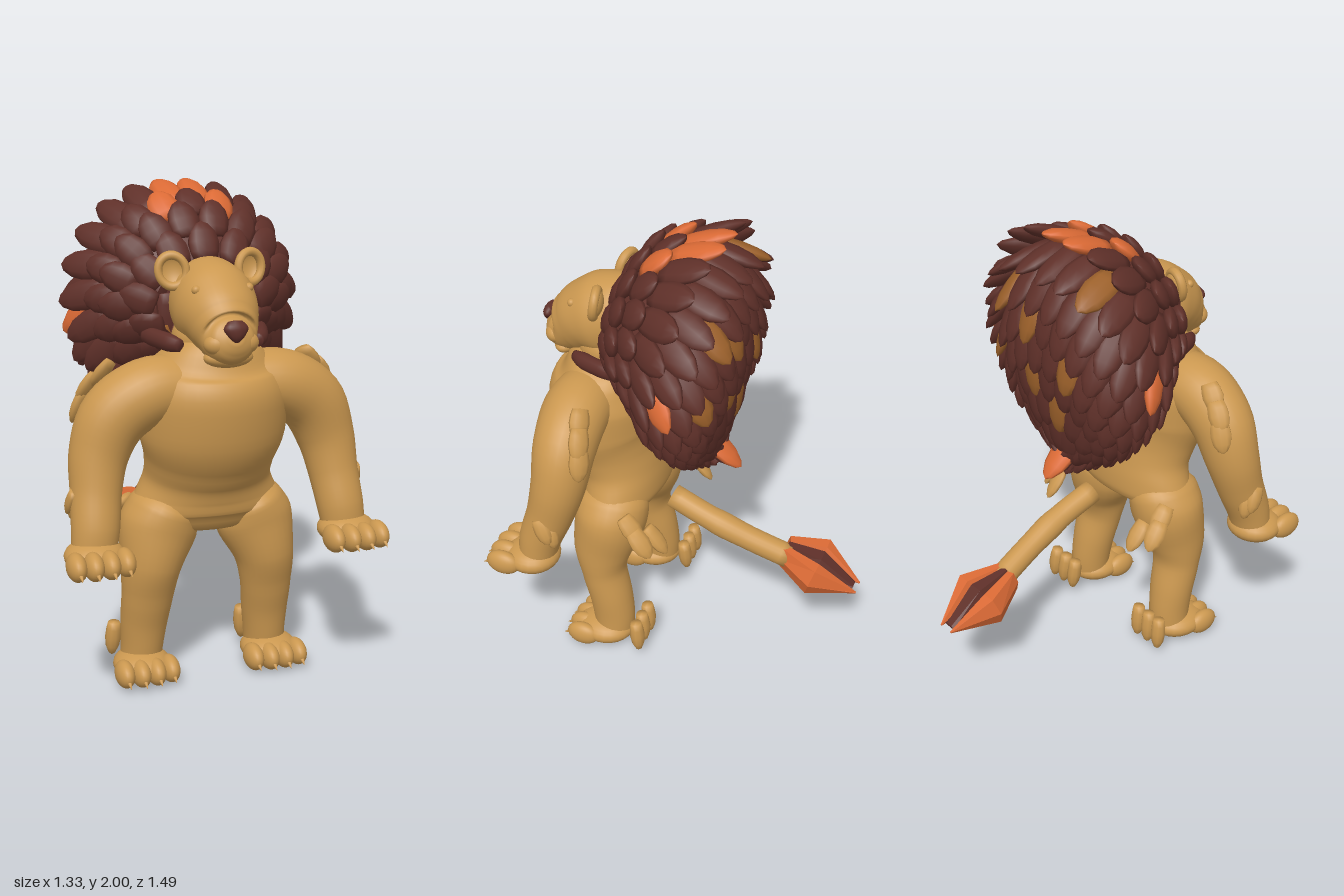
import * as THREE from 'three';
import { mergeGeometries } from 'three/addons/utils/BufferGeometryUtils.js';
import { ParametricGeometry } from 'three/addons/geometries/ParametricGeometry.js';

const V = (x, y, z) => new THREE.Vector3(x, y, z);

// Smooth closed skin through sections [x, y, z, halfWidth, halfDepth]
function loft(sections, { ref = V(0, 0, 1), seg = 28, sub = 5 } = {}) {
  const path = new THREE.CatmullRomCurve3(sections.map(s => V(s[0], s[1], s[2])));
  const size = new THREE.CatmullRomCurve3(sections.map(s => V(s[3], s[4], 0)));
  const n = (sections.length - 1) * sub, pos = [], idx = [];
  for (let i = 0; i <= n; i++) {
    const c = path.getPoint(i / n), r = size.getPoint(i / n), T = path.getTangent(i / n);
    const U = T.clone().cross(ref).normalize(), W = T.clone().cross(U);
    for (let j = 0; j < seg; j++) {
      const a = j / seg * Math.PI * 2;
      const p = c.clone().addScaledVector(U, r.x * Math.cos(a)).addScaledVector(W, r.y * Math.sin(a));
      pos.push(p.x, p.y, p.z);
    }
  }
  const s0 = sections[0], s1 = sections[sections.length - 1], c0 = (n + 1) * seg;
  pos.push(s0[0], s0[1], s0[2], s1[0], s1[1], s1[2]);
  for (let j = 0; j < seg; j++) {
    const k = (j + 1) % seg;
    for (let i = 0; i < n; i++) {
      const a = i * seg + j, b = i * seg + k;
      idx.push(a, b, a + seg, b, b + seg, a + seg);
    }
    idx.push(c0, k, j, c0 + 1, n * seg + j, n * seg + k);
  }
  const g = new THREE.BufferGeometry();
  g.setAttribute('position', new THREE.Float32BufferAttribute(pos, 3));
  g.setIndex(idx);
  g.computeVertexNormals();
  return g;
}

const ball = (x, y, z, a, b, c) => new THREE.SphereGeometry(1, 24, 16).scale(a, b, c).translate(x, y, z);

// Flattened pointed lock of hair lying along dir
const lockProfile = [[0, 0], [0.38, 0.01], [0.46, 0.2], [0.5, 0.45], [0.42, 0.72], [0.22, 0.92], [0, 1]];
function lock(p, dir, normal, w, l, t) {
  const Y = dir.clone().normalize();
  const Z = normal.clone().addScaledVector(Y, -normal.dot(Y)).normalize();
  const m = new THREE.Matrix4().makeBasis(Y.clone().cross(Z), Y, Z).setPosition(p);
  return new THREE.LatheGeometry(lockProfile.map(q => new THREE.Vector2(...q)), 10).scale(w, l, t).applyMatrix4(m);
}

// Mane surface: rings between an upper and a lower line, entries [halfWidth, y, z]
const line = pts => new THREE.CatmullRomCurve3(pts.map(p => V(...p)));
const maneTop = line([[0.21, 1.72, 0.3], [0.29, 1.83, 0.23], [0.34, 1.905, 0.12], [0.37, 1.925, 0], [0.375, 1.86, -0.1],
  [0.35, 1.73, -0.15], [0.31, 1.58, -0.175], [0.25, 1.42, -0.165], [0.16, 1.25, -0.14], [0.03, 1.09, -0.09]]);
const maneLow = line([[0.21, 1.39, 0.32], [0.29, 1.35, 0.25], [0.34, 1.29, 0.2], [0.37, 1.23, 0.15], [0.375, 1.18, 0.1],
  [0.35, 1.14, 0.06], [0.31, 1.11, 0.03], [0.25, 1.08, 0], [0.16, 1.07, -0.03], [0.03, 1.06, -0.07]]);
function manePoint(t, a) {
  const A = maneTop.getPoint(t), B = maneLow.getPoint(t);
  const p = B.clone().lerp(A, (1 + Math.sin(a)) / 2);
  p.x = A.x * Math.cos(a);
  return p;
}

export function createModel() {
  const model = new THREE.Group();
  const paint = (name, color) => new THREE.MeshStandardMaterial({ name, color, side: THREE.DoubleSide });
  const tan = paint('tanFur', 0xcb9850), dark = paint('darkBrown', 0x5f3029);
  const orange = paint('orange', 0xdb6a35), ochre = paint('ochre', 0x9b602a);
  const add = (name, geo, mat = tan) => {
    const m = new THREE.Mesh(Array.isArray(geo) ? mergeGeometries(geo) : geo, mat);
    m.name = name;
    model.add(m);
    return m;
  };

  // Torso and neck
  add('torso', loft([[0, 1.44, 0.4, 0.13, 0.1], [0, 1.38, 0.4, 0.2, 0.15], [0, 1.31, 0.39, 0.27, 0.21],
    [0, 1.2, 0.39, 0.305, 0.245], [0, 1.06, 0.38, 0.3, 0.235], [0, 0.95, 0.35, 0.27, 0.205],
    [0, 0.87, 0.325, 0.265, 0.187], [0, 0.79, 0.31, 0.297, 0.178], [0, 0.73, 0.307, 0.325, 0.17],
    [0, 0.69, 0.305, 0.3, 0.14], [0, 0.675, 0.3, 0.2, 0.09]], { seg: 40 }));
  add('neck', ball(0, 1.43, 0.37, 0.16, 0.12, 0.14));

  // Head
  add('head', loft([[0, 1.56, 0.27, 0.11, 0.14], [0, 1.565, 0.32, 0.16, 0.175], [0, 1.55, 0.4, 0.168, 0.178],
    [0, 1.525, 0.47, 0.155, 0.155], [0, 1.487, 0.53, 0.132, 0.132], [0, 1.46, 0.58, 0.11, 0.108],
    [0, 1.47, 0.625, 0.08, 0.075], [0, 1.48, 0.65, 0.03, 0.03]], { ref: V(0, 1, 0), seg: 36 }));
  add('chin', ball(0, 1.385, 0.565, 0.1, 0.04, 0.055));
  add('nose', loft([[0, 1.46, 0.648, 0.012, 0.012], [0, 1.485, 0.652, 0.035, 0.022], [0, 1.51, 0.647, 0.05, 0.026],
    [0, 1.535, 0.635, 0.03, 0.02]], { seg: 14 }), dark);

  // Paw: palm, four toes and claws
  const paw = (x, y, z, palmZ, toeZ) => {
    const parts = [ball(x, y, z, 0.12, 0.064, palmZ)];
    for (const o of [-0.096, -0.032, 0.032, 0.096]) {
      const tz = z + toeZ - Math.abs(o) * 0.2;
      parts.push(ball(x + o, y - 0.006, tz, 0.039, 0.055, 0.075));
      parts.push(new THREE.ConeGeometry(0.012, 0.04, 10).rotateX(Math.PI / 2 + 0.5).translate(x + o, y - 0.025, tz + 0.078));
    }
    return parts;
  };

  for (const s of [1, -1]) {
    const side = s > 0 ? 'left' : 'right';
    // Face details
    add(side + 'Cheek', ball(s * 0.05, 1.445, 0.595, 0.06, 0.045, 0.048));
    add(side + 'Eye', ball(s * 0.075, 1.6, 0.515, 0.035, 0.013, 0.018));
    add(side + 'Brow', new THREE.CapsuleGeometry(0.018, 0.06, 6, 12).rotateZ(s * (Math.PI / 2 + 0.25)).translate(s * 0.078, 1.63, 0.495));
    const ear = add(side + 'Ear', [
      new THREE.SphereGeometry(1, 24, 10, 0, Math.PI * 2, 0, Math.PI / 2).rotateX(-Math.PI / 2).scale(0.056, 0.064, 0.035),
      new THREE.TorusGeometry(0.054, 0.016, 10, 28).scale(1, 1.13, 1.2)]);
    ear.position.set(s * 0.16, 1.695, 0.365);
    ear.rotation.set(-0.15, s * 0.25, -s * 0.25);
    add(side + 'JawMane', loft([[s * 0.24, 1.43, 0.27, 0.025, 0.03], [s * 0.225, 1.43, 0.32, 0.03, 0.036],
      [s * 0.19, 1.425, 0.41, 0.032, 0.036], [s * 0.16, 1.42, 0.465, 0.02, 0.025]], { ref: V(0, 1, 0), seg: 14 }), dark);

    // Arm and hand
    add(side + 'Arm', loft([[s * 0.12, 1.25, 0.41, 0.12, 0.13], [s * 0.28, 1.235, 0.415, 0.135, 0.14],
      [s * 0.41, 1.15, 0.41, 0.137, 0.13], [s * 0.475, 1.01, 0.415, 0.12, 0.115], [s * 0.5, 0.86, 0.45, 0.102, 0.1],
      [s * 0.515, 0.73, 0.495, 0.096, 0.09], [s * 0.525, 0.65, 0.51, 0.09, 0.08]]));
    add(side + 'Hand', paw(s * 0.53, 0.633, 0.53, 0.115, 0.115));

    // Leg and foot
    add(side + 'Leg', loft([[s * 0.15, 0.8, 0.315, 0.07, 0.1], [s * 0.18, 0.73, 0.312, 0.14, 0.158],
      [s * 0.207, 0.65, 0.315, 0.162, 0.157], [s * 0.245, 0.5, 0.34, 0.125, 0.13], [s * 0.257, 0.38, 0.335, 0.108, 0.098],
      [s * 0.265, 0.25, 0.305, 0.098, 0.095], [s * 0.27, 0.14, 0.29, 0.088, 0.093], [s * 0.275, 0.05, 0.285, 0.085, 0.085]]));
    add(side + 'Foot', paw(s * 0.28, 0.064, 0.325, 0.13, 0.095));

    // Loose fur locks on shoulder, forearm, thigh and ankle
    const furs = [];
    const fur = (x, y, z, dx, dy, dz, nx, nz, w, l, t = 0.045) =>
      furs.push(lock(V(s * x, y, z), V(s * dx, dy, dz), V(s * nx, 0.2, nz), w, l, t));
    fur(0.4, 1.35, 0.335, 0.6, -0.75, -0.15, 0.6, -0.7, 0.09, 0.13);
    fur(0.46, 1.3, 0.315, 0.5, -0.8, -0.15, 0.6, -0.7, 0.09, 0.14);
    fur(0.5, 1.23, 0.3, 0.35, -0.9, -0.1, 0.6, -0.7, 0.09, 0.14);
    fur(0.59, 0.88, 0.465, 0.15, -0.9, -0.45, 1, -0.3, 0.07, 0.12);
    fur(0.575, 0.84, 0.42, 0.1, -0.9, -0.2, 0.8, -0.6, 0.06, 0.1);
    fur(0.31, 0.75, 0.21, 0.1, -0.75, -0.6, 0.5, -0.7, 0.09, 0.14);
    fur(0.33, 0.7, 0.16, 0.1, -0.75, -0.6, 0.5, -0.7, 0.09, 0.14);
    fur(0.27, 0.69, 0.12, 0, -0.75, -0.6, 0.2, -0.9, 0.08, 0.15);
    for (const x of [0.22, 0.285, 0.35]) fur(x, 0.185, 0.15, 0.05, -1, -0.1, 0.1, -1, 0.068, 0.155, 0.065);
    add(side + 'FurLocks', furs);
  }

  // Mane: inner shell covered by rows of locks, rounded in front and long behind
  add('maneShell', new ParametricGeometry((u, v, out) => out.copy(manePoint(v, u * Math.PI * 2)), 40, 30), dark);
  const locks = [], rows = 11, middle = V(0, 1.48, 0.05);
  for (let r = 0; r < rows; r++) {
    const t = r / rows * 0.98;
    const A = maneTop.getPoint(t), h = A.distanceTo(maneLow.getPoint(t).setX(A.x)) / 2;
    const count = Math.max(6, Math.round(Math.PI * (A.x + h) / 0.1));
    for (let i = 0; i < count; i++) {
      const a = (i + (r % 2) / 2) / count * Math.PI * 2 + Math.PI / 2;
      const p = manePoint(t, a), along = manePoint(t + 0.02, a).sub(p).normalize();
      const n = along.clone().cross(manePoint(t, a + 0.02).sub(p)).normalize();
      if (n.dot(p.clone().sub(middle)) < 0) n.negate();
      const flank = Math.abs(Math.cos(a));
      const lift = 0.12 + 0.4 * flank * Math.sin(Math.PI * Math.min(1, t * 1.4));
      const dir = along.addScaledVector(n, lift);
      dir.y -= 0.55 * t * Math.max(flank, t);
      dir.normalize();
      const len = r < 3 ? 0.16 : 0.235;
      locks.push({ geo: lock(p, dir, n, 0.13, len, 0.062), mid: p.addScaledVector(dir, len * 0.6), mat: dark });
    }
  }
  const tint = (mat, spots) => spots.forEach(q => {
    const d = l => l.mid.distanceTo(V(...q));
    locks.reduce((best, l) => (d(l) < d(best) ? l : best)).mat = mat;
  });
  tint(ochre, [[0.25, 1.74, -0.16], [-0.2, 1.78, -0.16], [0.05, 1.62, -0.22], [-0.14, 1.48, -0.2],
    [0.13, 1.34, -0.18], [-0.06, 1.2, -0.17], [0.3, 1.45, -0.14]]);
  tint(orange, [[0.07, 1.97, 0.04], [-0.07, 1.97, 0.04], [0.1, 1.96, -0.06], [-0.1, 1.96, -0.06],
    [0.46, 1.47, -0.02], [-0.46, 1.47, -0.02], [0.02, 1.02, -0.14]]);
  for (const [name, mat] of [['maneLocks', dark], ['ochreManeLocks', ochre], ['orangeManeLocks', orange]])
    add(name, locks.filter(l => l.mat === mat).map(l => l.geo), mat);

  // Tail with a faceted two-lobed tuft
  add('tail', loft([[0.04, 0.7, 0.09, 0.052, 0.052], [0.052, 0.635, -0.09, 0.053, 0.053], [0.042, 0.567, -0.265, 0.053, 0.053],
    [0.02, 0.5, -0.44, 0.053, 0.053]], { ref: V(0, 1, 0), seg: 20 }));
  const facet = secs => {
    const g = loft(secs, { ref: V(0, 1, 0), seg: 6, sub: 1 }).toNonIndexed();
    g.computeVertexNormals();
    return g;
  };
  add('tailTuftLobes', [1, -1].map(s => facet([[s * 0.03, 0.505, -0.42, 0.03, 0.06],
    [s * 0.085, 0.465, -0.57, 0.055, 0.082], [s * 0.032, 0.4, -0.755, 0.004, 0.004]])), orange);
  add('tailTuftCore', facet([[0, 0.505, -0.42, 0.025, 0.06], [0, 0.465, -0.57, 0.058, 0.084], [0, 0.405, -0.735, 0.03, 0.01]]), dark);
  return model;
}
